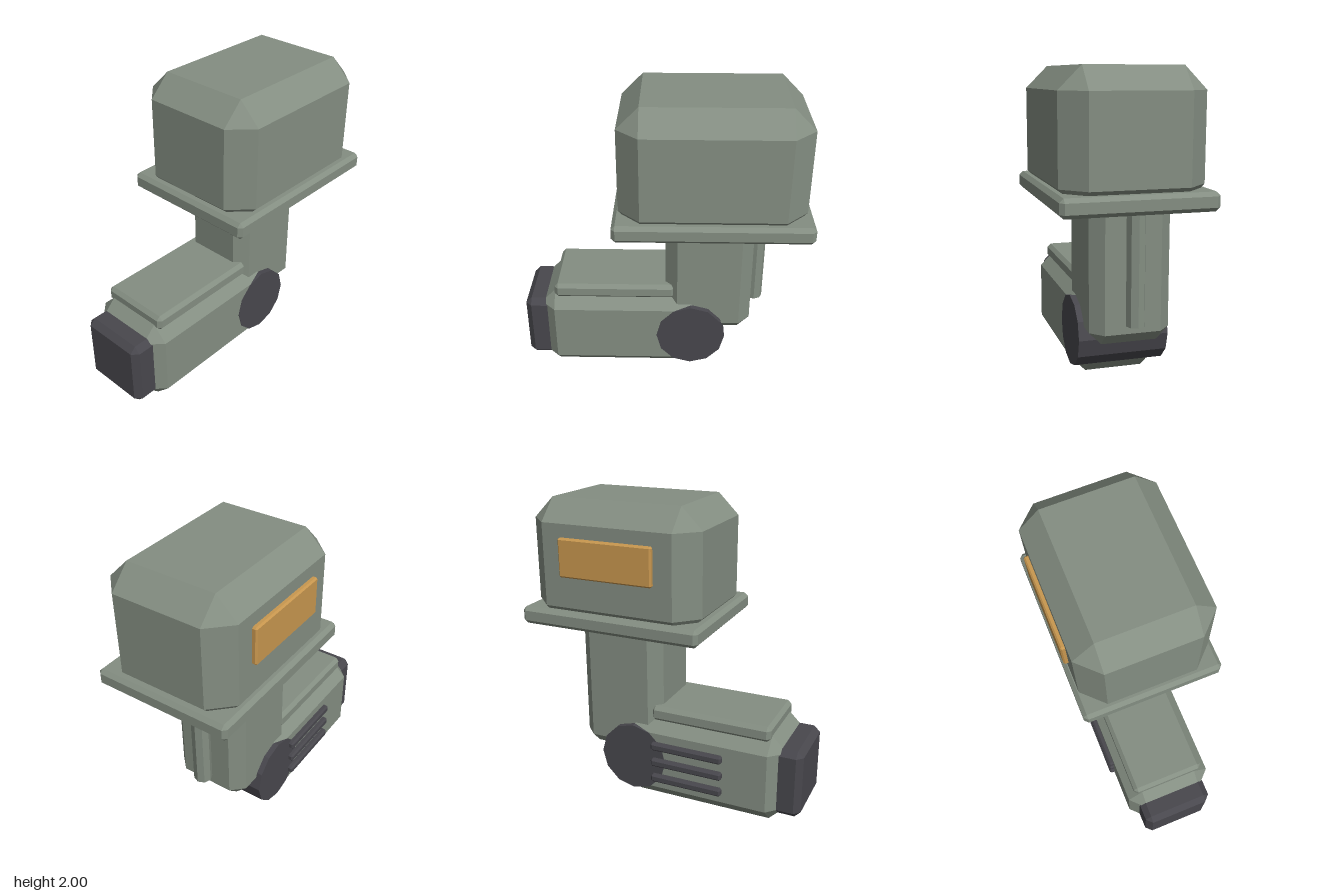
import * as THREE from 'three';
import { ConvexGeometry } from 'three/addons/geometries/ConvexGeometry.js';

const standard = (name, color) => {
  const material = new THREE.MeshStandardMaterial({ color });
  material.name = name;
  return material;
};

// Box between two corners with every edge cut at 45 degrees by bevel b
function chamferBox(x0, x1, y0, y1, z0, z1, b) {
  const hx = (x1 - x0) / 2, hy = (y1 - y0) / 2, hz = (z1 - z0) / 2;
  const points = [];
  for (const sx of [-1, 1]) for (const sy of [-1, 1]) for (const sz of [-1, 1]) {
    points.push(
      new THREE.Vector3(sx * hx, sy * (hy - b), sz * (hz - b)),
      new THREE.Vector3(sx * (hx - b), sy * hy, sz * (hz - b)),
      new THREE.Vector3(sx * (hx - b), sy * (hy - b), sz * hz)
    );
  }
  const geometry = new ConvexGeometry(points);
  geometry.translate((x0 + x1) / 2, (y0 + y1) / 2, (z0 + z1) / 2);
  return geometry;
}

// Faceted cylinder standing on y
const prism = (radius, length, sides) =>
  new THREE.CylinderGeometry(radius, radius, length, sides).toNonIndexed();

export function createModel() {
  const model = new THREE.Group();
  model.name = 'jointedLeg';
  const green = standard('greyGreen', 0x848e82);
  const dark = standard('charcoal', 0x48474d);
  const amber = standard('amber', 0xc8974f);

  const add = (name, geometry, material) => {
    geometry.computeVertexNormals();
    const mesh = new THREE.Mesh(geometry, material);
    mesh.name = name;
    model.add(mesh);
    return mesh;
  };

  // Upper housing, its collar and the side panel
  add('upperHousing', chamferBox(-0.44, 0.44, 1.18, 2.0, -0.905, 0.27, 0.14), green);
  add('collar', chamferBox(-0.47, 0.47, 1.18, 1.295, -0.945, 0.305, 0.025), green);
  add('sidePanel', chamferBox(-0.47, -0.43, 1.525, 1.775, -0.64, 0.005, 0.01), amber);

  // Upright column with a rod along its back
  const cx = -0.06;
  add('column', chamferBox(cx - 0.26, cx + 0.26, 0.3, 1.28, -0.61, -0.025, 0.08), green);
  add('backRod', prism(0.06, 0.795, 8), green).position.set(cx, 0.8425, -0.65);

  // Pivot drum, slightly proud of the lower housing
  const drum = add('pivotDrum', prism(0.235, 0.596, 12), dark);
  drum.rotation.z = Math.PI / 2;
  drum.position.set(cx, 0.295, -0.2);

  // Lower housing with top cover and end cap
  add('lowerHousing', chamferBox(cx - 0.295, cx + 0.295, 0, 0.6, -0.3, 0.835, 0.1), green);
  add('topCover', chamferBox(cx - 0.247, cx + 0.247, 0.565, 0.67, -0.09, 0.735, 0.025), green);
  add('endCap', chamferBox(cx - 0.237, cx + 0.237, 0.06, 0.53, 0.72, 0.945, 0.04), dark);

  // Three ribs on the right flank
  for (const y of [0.18, 0.297, 0.415]) {
    add('sideRib', chamferBox(-0.39, -0.33, y - 0.027, y + 0.027, -0.06, 0.44, 0.012), dark);
  }
  return model;
}
